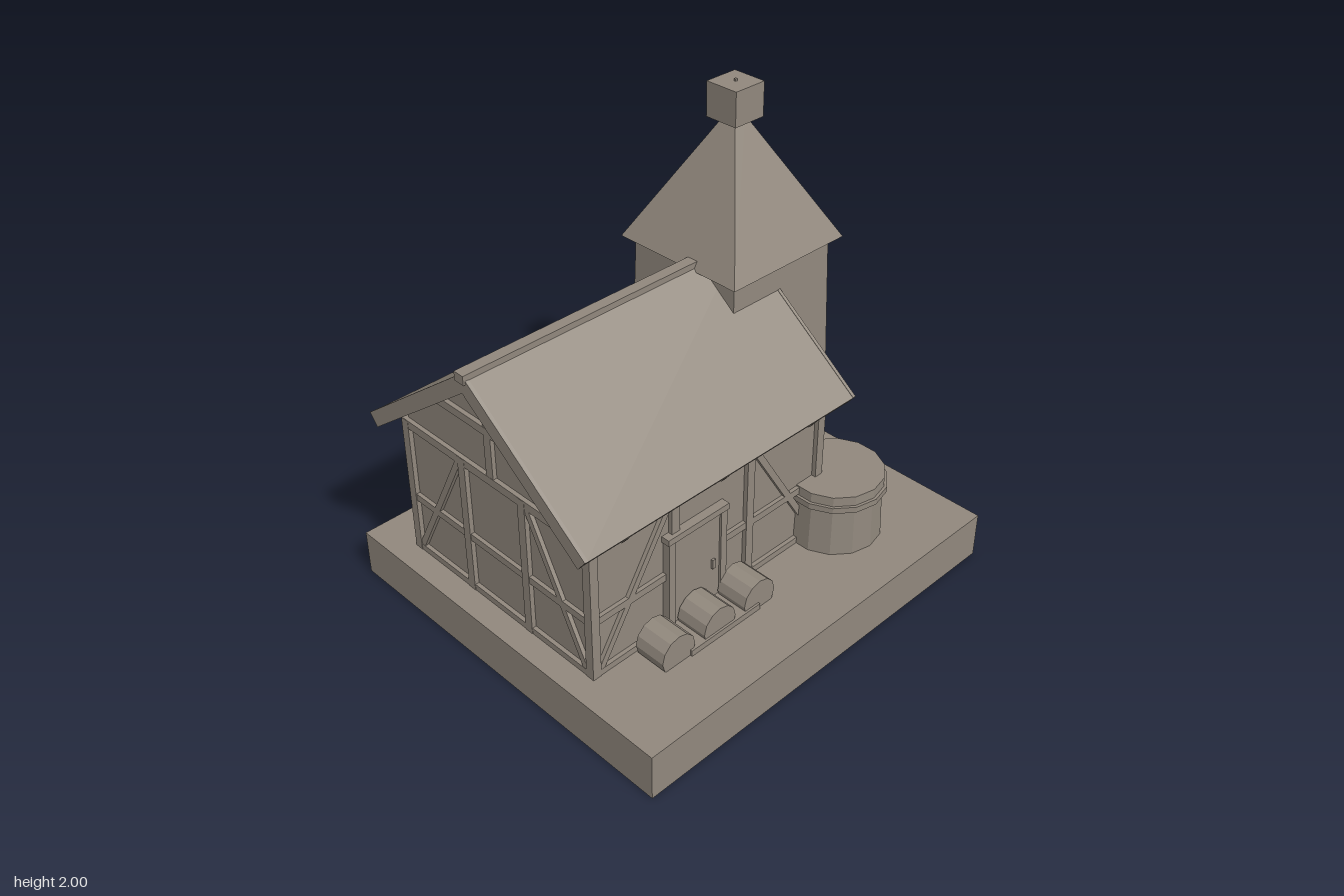
import * as THREE from 'three';

const ZC = -0.105, XC = -0.22; // house centre
const SLOPE = 0.76, NY = 0.796, NZ = 0.605;

export function createModel() {
  const root = new THREE.Group();
  const stone = new THREE.MeshStandardMaterial({ color: 0x91887d });
  stone.name = 'warm grey';

  const add = (name, geo, parent = root) => {
    const m = new THREE.Mesh(geo, stone);
    m.name = name;
    parent.add(m);
    return m;
  };
  // box given by its min and max corners
  const box = (name, x0, x1, y0, y1, z0, z1, parent) =>
    add(name, new THREE.BoxGeometry(x1 - x0, y1 - y0, z1 - z0)
      .translate((x0 + x1) / 2, (y0 + y1) / 2, (z0 + z1) / 2), parent);
  // facets for round and tapered parts
  const faceted = (geo) => {
    const g = geo.toNonIndexed();
    g.computeVertexNormals();
    return g;
  };
  // (z offset, y) outline extruded along x
  const prism = (name, pts, x0, x1) => {
    const shape = new THREE.Shape(pts.map(([z, y]) => new THREE.Vector2(-z, y)));
    const g = new THREE.ExtrudeGeometry(shape, { depth: x1 - x0, bevelEnabled: false });
    return add(name, g.rotateY(Math.PI / 2).translate(x0, 0, ZC));
  };

  box('base', -0.955, 0.955, 0, 0.207, -0.86, 0.86);

  // House body with gables
  prism('houseWalls', [[-0.525, 0.2], [0.525, 0.2], [0.525, 0.895], [0, 1.295], [-0.525, 0.895]], -0.83, 0.39);

  // Roof: a chevron section, deeper at the gable ends
  const chevron = (t, lift = 0) => {
    const e = 0.625, top = 1.35 + lift, ey = top - SLOPE * e;
    return [[e, ey], [0, top], [-e, ey], [-e + NZ * t, ey - NY * t], [0, top - t / NY], [e - NZ * t, ey - NY * t]];
  };
  prism('roof', chevron(0.035), -0.93, 0.485);
  prism('leftBargeboard', chevron(0.065, 0.002), -0.936, -0.92);
  prism('rightBargeboard', chevron(0.065, 0.002), 0.475, 0.49);
  box('ridgeCap', -0.945, 0.3, 1.318, 1.357, ZC - 0.025, ZC + 0.025);

  // Rafter tails under both eaves
  for (const x of [-0.72, -0.22, 0.27]) for (const s of [1, -1]) {
    const tail = add('rafterTail', new THREE.BoxGeometry(0.022, 0.035, 0.13));
    tail.position.set(x, 0.875, ZC + s * 0.545);
    tail.rotation.x = s * Math.atan(SLOPE);
  }

  // Timber frame of one wall: four posts, three rails, two braces
  const timberWall = (name, length, gable) => {
    const g = new THREE.Group();
    g.name = name;
    root.add(g);
    const d = 0.02, step = (length - 0.04) / 3, u0 = -length / 2 + 0.02;
    for (let i = 0; i < 4; i++) {
      const u = u0 + i * step;
      box('post', u - 0.02, u + 0.02, 0.2, 0.85, -d, d, g);
    }
    const h = length / 2 - 0.002;
    box('sill', -h, h, 0.2, 0.235, -d, d - 0.002, g);
    box('middleRail', -h, h, 0.46, 0.492, -d, d - 0.003, g);
    box('topBeam', -h, h, 0.815, 0.852, -d, d - 0.001, g);
    for (const s of [1, -1]) {
      const run = step - 0.05, rise = 0.58;
      const brace = add('brace', new THREE.BoxGeometry(0.028, Math.hypot(run, rise), 0.034), g);
      brace.position.set(-s * step, 0.525, 0);
      brace.rotation.z = -s * Math.atan2(run, rise);
    }
    if (gable) {
      box('collarBeam', -0.3, 0.3, 1.04, 1.075, -d, d, g);
      box('kingPost', -0.02, 0.02, 0.85, 1.27, -d, d - 0.002, g);
    }
    return g;
  };
  timberWall('frontFrame', 1.26).position.set(XC, 0, 0.42);
  const back = timberWall('backFrame', 1.26);
  back.position.set(XC, 0, -0.63);
  back.rotation.y = Math.PI;
  for (const s of [1, -1]) {
    const side = timberWall(s > 0 ? 'leftGableFrame' : 'rightGableFrame', 1.09, true);
    side.position.set(XC + s * 0.61, 0, ZC);
    side.rotation.y = s * Math.PI / 2;
  }

  // Door with frame, lintel, handle and step
  box('door', -0.445, -0.19, 0.2, 0.645, 0.42, 0.445);
  box('doorJamb', -0.472, -0.44, 0.2, 0.645, 0.42, 0.455);
  box('doorJamb', -0.195, -0.163, 0.2, 0.645, 0.42, 0.455);
  box('doorLintel', -0.478, -0.157, 0.64, 0.668, 0.42, 0.458);
  box('doorHandle', -0.238, -0.223, 0.385, 0.428, 0.44, 0.455);
  box('doorStep', -0.5, -0.125, 0.2, 0.234, 0.43, 0.605);

  // Half sunken logs by the door
  for (const x of [-0.56, -0.34, -0.12]) {
    const log = add('log', faceted(new THREE.CylinderGeometry(0.085, 0.085, 0.145, 12)));
    log.rotation.x = Math.PI / 2;
    log.position.set(x, 0.255, 0.523);
  }

  // Tub with hoop and lid
  const tub = new THREE.Group();
  tub.name = 'tub';
  tub.position.set(0.478, 0, 0.455);
  root.add(tub);
  const drum = (name, rTop, rBottom, y0, y1) =>
    add(name, faceted(new THREE.CylinderGeometry(rTop, rBottom, y1 - y0, 14)).translate(0, (y0 + y1) / 2, 0), tub);
  drum('tubBody', 0.2, 0.209, 0.2, 0.435);
  drum('tubHoop', 0.219, 0.219, 0.428, 0.455);
  drum('tubLid', 0.205, 0.207, 0.45, 0.497);

  // Tower with tapered shaft, pyramid roof and block finial
  const tower = new THREE.Group();
  tower.name = 'tower';
  tower.position.set(0.5, 0, -0.175);
  root.add(tower);
  const square = (name, top, bottom, y0, y1) => {
    const r = Math.SQRT2;
    add(name, faceted(new THREE.CylinderGeometry(top * r, bottom * r, y1 - y0, 4)
      .rotateY(Math.PI / 4)).translate(0, (y0 + y1) / 2, 0), tower);
  };
  square('towerShaft', 0.275, 0.305, 0.2, 1.33);
  square('towerRoof', 0.028, 0.317, 1.32, 1.85);
  square('finialBlock', 0.078, 0.078, 1.843, 1.99);
  square('finialPin', 0.005, 0.005, 1.985, 2.0);
  return root;
}
